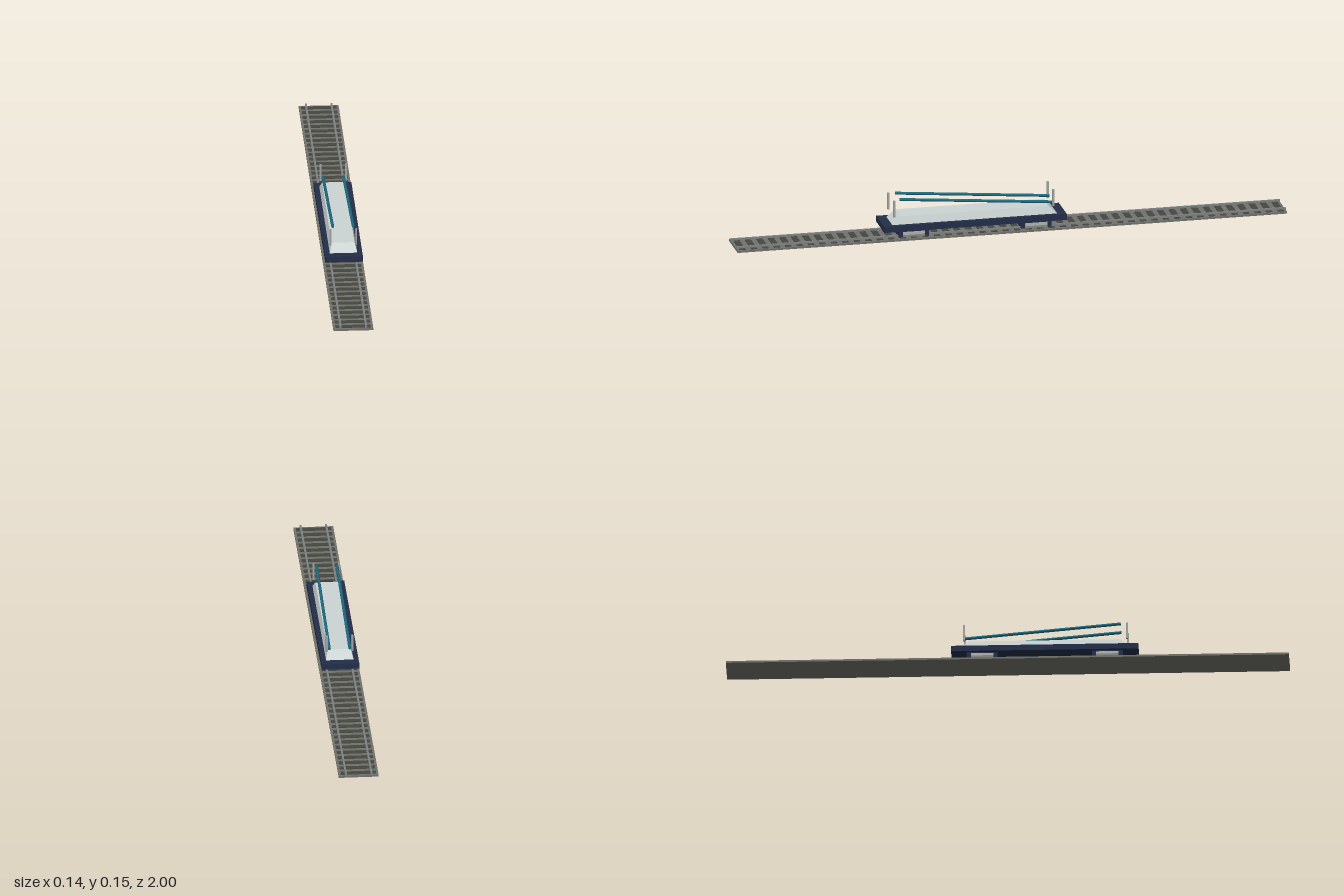
import * as THREE from 'three';

const mat = (name, color) => {
  const m = new THREE.MeshStandardMaterial({ color });
  m.name = name;
  return m;
};

export function createModel() {
  const model = new THREE.Group();
  model.name = 'railCarOnTrack';

  const ballast = mat('ballastGrey', 0x70726a);
  const sleeperDark = mat('sleeperDark', 0x45473f);
  const railGrey = mat('railGrey', 0x7f8284);
  const navy = mat('deckNavy', 0x222d48);
  const pale = mat('bodyPale', 0xccd5d4);
  const steel = mat('steelGrey', 0xa0a3a0);
  const teal = mat('tubeTeal', 0x1c6a80);

  const add = (name, geometry, material, parent = model) => {
    const mesh = new THREE.Mesh(geometry, material);
    mesh.name = name;
    parent.add(mesh);
    return mesh;
  };
  // Box given by its extents on each axis
  const box = (name, material, [x0, x1], [y0, y1], [z0, z1], parent) => {
    const g = new THREE.BoxGeometry(x1 - x0, y1 - y0, z1 - z0);
    g.translate((x0 + x1) / 2, (y0 + y1) / 2, (z0 + z1) / 2);
    return add(name, g, material, parent);
  };

  // Track: bed, sleepers and two rails
  const track = new THREE.Group();
  track.name = 'track';
  model.add(track);
  box('trackBed', ballast, [-0.071, 0.071], [0, 0.007], [-1, 1], track);
  const count = 48, pitch = 2 / count;
  for (let i = 0; i < count; i++) {
    const z = -1 + (i + 0.5) * pitch;
    box('sleeper', sleeperDark, [-0.063, 0.063], [0.006, 0.009], [z - 0.011, z + 0.011], track);
  }
  for (const s of [-1, 1]) {
    box('rail', railGrey, [s * 0.0455 - 0.0035, s * 0.0455 + 0.0035], [0.006, 0.016], [-1, 1], track);
  }

  // Deck
  box('deck', navy, [-0.067, 0.067], [0.034, 0.055], [-0.2, 0.465]);

  // Body: a box drawn in towards its top on all four sides
  const body = new THREE.BoxGeometry(0.098, 0.028, 0.6).toNonIndexed();
  const p = body.attributes.position;
  for (let i = 0; i < p.count; i++) {
    if (p.getY(i) > 0) {
      p.setX(i, Math.sign(p.getX(i)) * 0.041);
      p.setZ(i, Math.sign(p.getZ(i)) * 0.27);
    }
  }
  body.computeVertexNormals();
  body.translate(0, 0.069, 0.132);
  add('body', body, pale);

  // Bogies with bevelled side frames
  for (const z of [0.355, -0.09]) {
    const bogie = new THREE.Group();
    bogie.name = 'bogie';
    bogie.position.z = z;
    model.add(bogie);
    box('bogieBlock', navy, [-0.056, 0.056], [0.01, 0.034], [-0.055, 0.055], bogie);
    for (const s of [-1, 1]) {
      const frame = new THREE.Shape([
        new THREE.Vector2(s * 0.054, 0.010), new THREE.Vector2(s * 0.058, 0.010),
        new THREE.Vector2(s * 0.061, 0.019), new THREE.Vector2(s * 0.058, 0.029),
        new THREE.Vector2(s * 0.054, 0.029),
      ]);
      const g = new THREE.ExtrudeGeometry(frame, { depth: 0.08, bevelEnabled: false });
      g.translate(0, 0, -0.04);
      add('sideFrame', g, steel, bogie);
    }
  }

  // Corner posts and sloping side tubes
  for (const s of [-1, 1]) {
    for (const z of [0.425, -0.155]) {
      box('post', steel, [s * 0.0455 - 0.0035, s * 0.0455 + 0.0035], [0.083, 0.145], [z - 0.0035, z + 0.0035]);
    }
    const path = new THREE.LineCurve3(
      new THREE.Vector3(s * 0.0365, 0.145, 0.402),
      new THREE.Vector3(s * 0.0365, 0.095, -0.158));
    const length = path.getLength();
    const tube = add('sideTube', new THREE.CylinderGeometry(0.0053, 0.0053, length, 12), teal);
    tube.position.copy(path.getPoint(0.5));
    tube.quaternion.setFromUnitVectors(new THREE.Vector3(0, 1, 0), path.getTangent(0));
  }

  return model;
}
